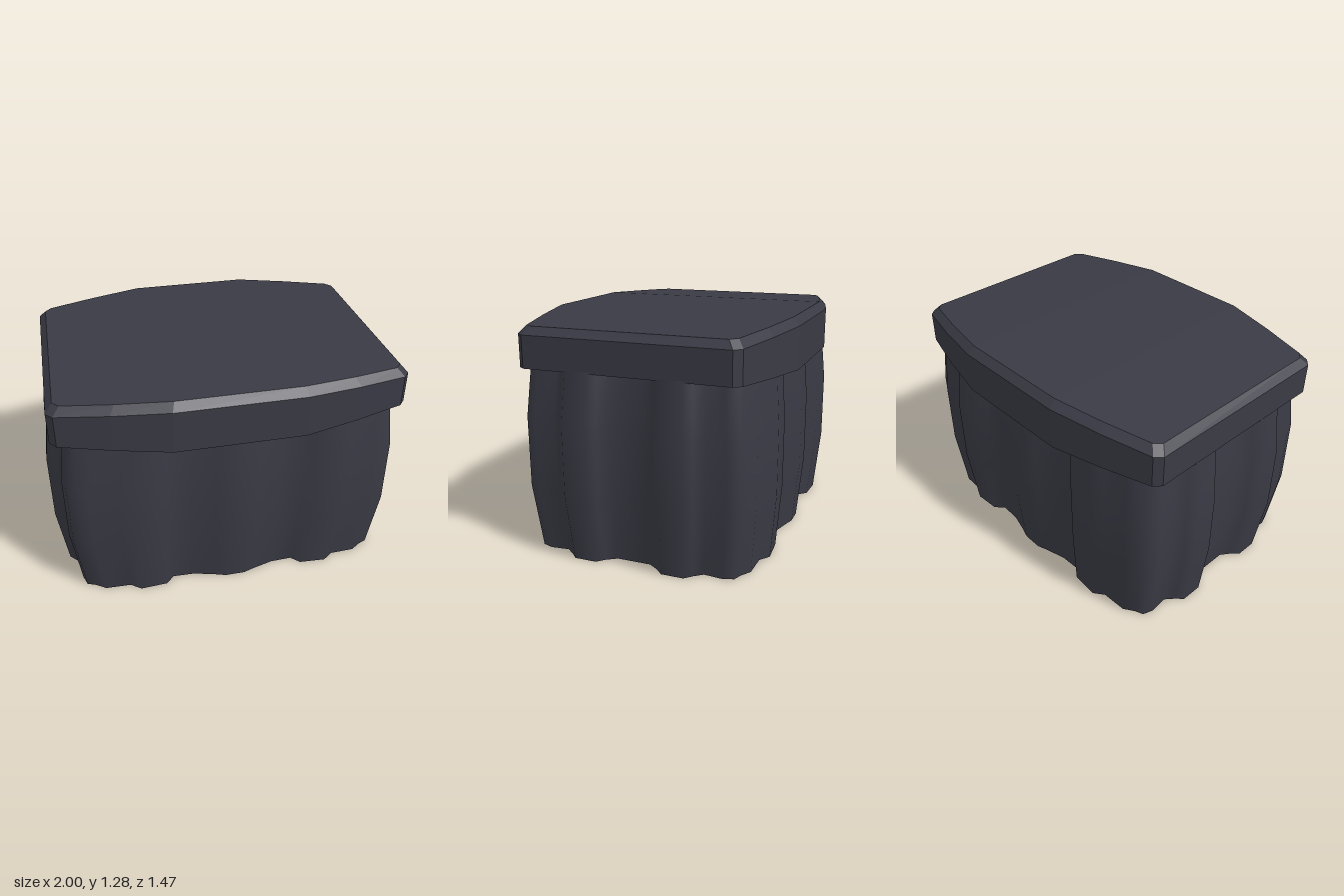
import * as THREE from 'three';

const material = (options) => new THREE.MeshStandardMaterial({ color: 0x3a3a45, roughness: 0.8, ...options });

// Mirrors a quarter outline (front centre to +x side) into a closed loop
function mirrorQuarter(quarter) {
  const back = [...quarter].reverse();
  const loop = [
    ...quarter,
    ...back.map(([x, z]) => [x, -z]),
    ...quarter.map(([x, z]) => [-x, -z]),
    ...back.map(([x, z]) => [-x, z]),
  ];
  return loop.filter(([x, z], i) => {
    const [px, pz] = loop[(i + loop.length - 1) % loop.length];
    return Math.abs(x - px) + Math.abs(z - pz) > 1e-6;
  });
}

// Joins equal-sized rings of [x, y, z] from bottom to top
function loft(rings, extraFaces = []) {
  const n = rings[0].length;
  const index = [...extraFaces];
  for (let r = 0; r < rings.length - 1; r++) {
    for (let i = 0; i < n; i++) {
      const a = r * n + i, b = r * n + (i + 1) % n;
      index.push(a, b, b + n, a, b + n, a + n);
    }
  }
  const geometry = new THREE.BufferGeometry();
  geometry.setAttribute('position', new THREE.Float32BufferAttribute(rings.flat(2), 3));
  geometry.setIndex(index);
  geometry.computeVertexNormals();
  return geometry;
}

// Fluted, slightly barrel-shaped skirt, open below
function createSkirt() {
  const outline = mirrorQuarter([
    [0, 0.70], [0.06, 0.70], [0.12, 0.68], [0.25, 0.645], [0.38, 0.64], [0.43, 0.69],
    [0.59, 0.70], [0.65, 0.655], [0.80, 0.65], [0.86, 0.61], [0.91, 0.59], [0.93, 0.53],
    [0.92, 0.42], [0.96, 0.37], [1.0, 0.33], [1.0, 0.20], [0.96, 0.16], [0.92, 0.10], [0.92, 0],
  ]);
  const levels = [[0, 0.95], [0.37, 1], [0.76, 1], [1.04, 0.965]];
  const rings = levels.map(([y, s]) => outline.map(([x, z]) => [x * s, y, z * s]));
  const skirt = new THREE.Mesh(loft(rings), material({ side: THREE.DoubleSide }));
  skirt.name = 'flutedSkirt';
  return skirt;
}

// Bowed lid with a bevelled rim and a gently arched top
function createLid() {
  const outline = mirrorQuarter([[0.35, 0.735], [0.65, 0.675], [0.925, 0.605], [0.96, 0.565]]);
  const slope = (x) => 0.03 * THREE.MathUtils.clamp((Math.abs(x) - 0.35) / 0.6, 0, 1);
  const rings = [
    outline.map(([x, z]) => [x, 1.0 + slope(x), z]),
    outline.map(([x, z]) => [x, 1.235 - slope(x), z]),
    outline.map(([x, z]) => [x * 0.96, 1.277 - slope(x), z * 0.945]),
  ];

  // Caps: strips from the front edge to the matching back edge
  const columns = [];
  for (let i = 3; i >= 0; i--) columns.push([15 - i, 8 + i]);
  for (let i = 0; i < 4; i++) columns.push([i, 7 - i]);
  const caps = [];
  for (let c = 0; c < columns.length - 1; c++) {
    const [f0, b0] = columns[c], [f1, b1] = columns[c + 1];
    const top = [f0, f1, b1, f0, b1, b0];
    caps.push(...top.map((v) => v + 32), ...top.reverse());
  }
  const lid = new THREE.Mesh(loft(rings, caps), material({ flatShading: true }));
  lid.name = 'lid';
  return lid;
}

export function createModel() {
  const model = new THREE.Group();
  model.name = 'flutedOttoman';
  model.add(createSkirt(), createLid());
  return model;
}
